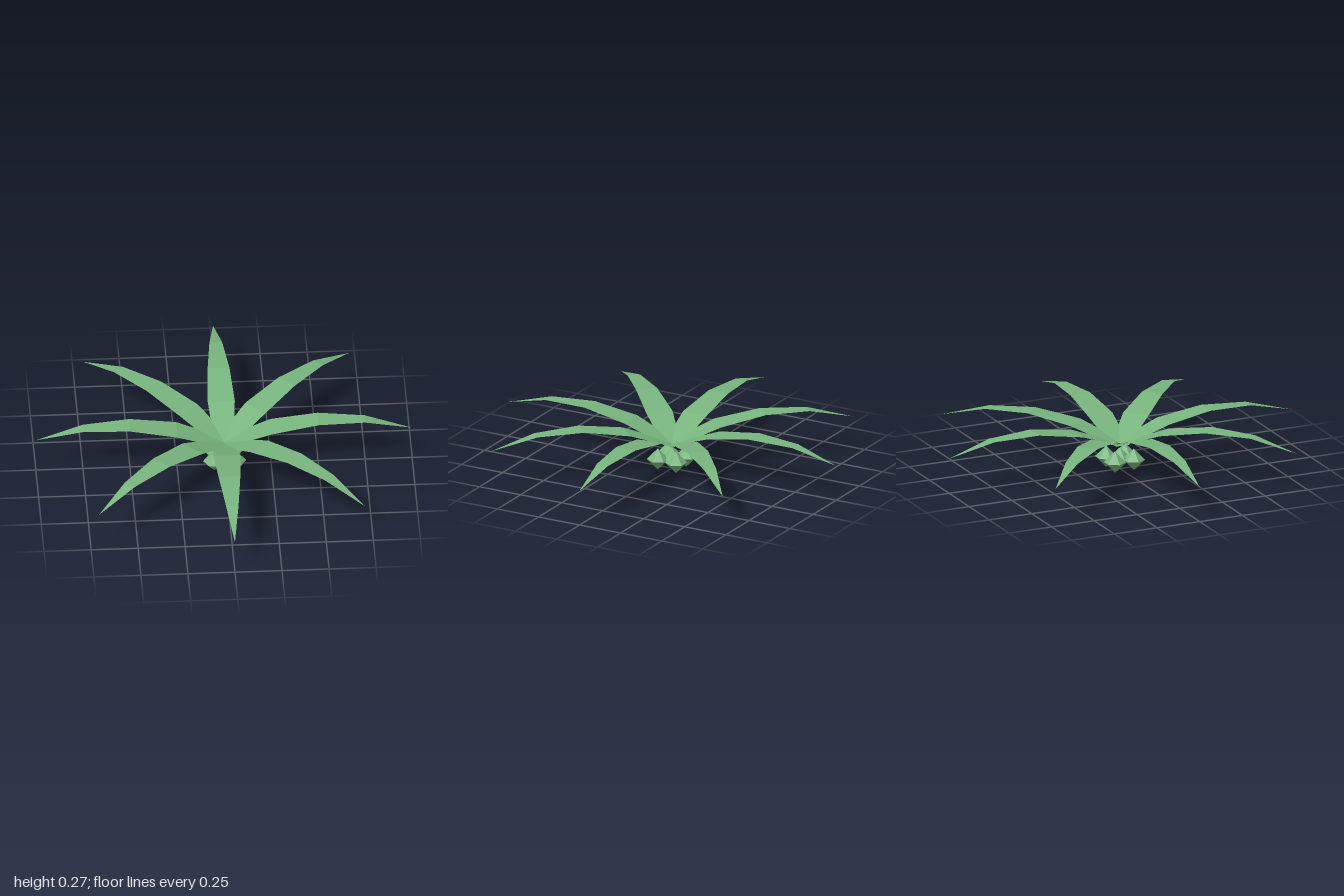
import * as THREE from 'three';

// Leaf stations: distance from the centre, height, half width
const STATIONS = [
  [0, 0.137, 0.05],
  [0.25, 0.23, 0.072],
  [0.5, 0.27, 0.058],
  [0.75, 0.26, 0.034],
  [1, 0.193, 0],
];

// Flat-shaded arching strip running along +z
function leafGeometry() {
  const positions = [];
  const indices = [];
  for (const [r, y, w] of STATIONS) positions.push(-w, y, r, w, y, r);
  for (let i = 0; i < STATIONS.length - 1; i++) {
    const a = i * 2;
    indices.push(a, a + 2, a + 1);
    if (i < STATIONS.length - 2) indices.push(a + 1, a + 2, a + 3);
  }
  const geometry = new THREE.BufferGeometry();
  geometry.setAttribute('position', new THREE.Float32BufferAttribute(positions, 3));
  geometry.setIndex(indices);
  const flat = geometry.toNonIndexed();
  flat.computeVertexNormals();
  return flat;
}

export function createModel() {
  const model = new THREE.Group();
  model.name = 'palmCrown';
  const green = new THREE.MeshStandardMaterial({
    color: 0x78b57e, flatShading: true, side: THREE.DoubleSide,
  });
  green.name = 'leafGreen';

  // Eight leaves radiating from the centre
  const leaves = new THREE.Group();
  leaves.name = 'leaves';
  const leaf = leafGeometry();
  for (let i = 0; i < 8; i++) {
    const mesh = new THREE.Mesh(leaf, green);
    mesh.name = 'leaf';
    mesh.rotation.y = (i * Math.PI) / 4;
    leaves.add(mesh);
  }
  model.add(leaves);

  // Cluster of faceted fruits hanging below the crown
  const fruits = new THREE.Group();
  fruits.name = 'fruits';
  const fruit = new THREE.SphereGeometry(0.06, 6, 2);
  const d = 0.055;
  for (const [x, z] of [[0, 0], [d, d], [d, -d], [-d, d], [-d, -d]]) {
    const mesh = new THREE.Mesh(fruit, green);
    mesh.name = 'fruit';
    mesh.position.set(x, 0.06, z);
    fruits.add(mesh);
  }
  model.add(fruits);
  return model;
}
